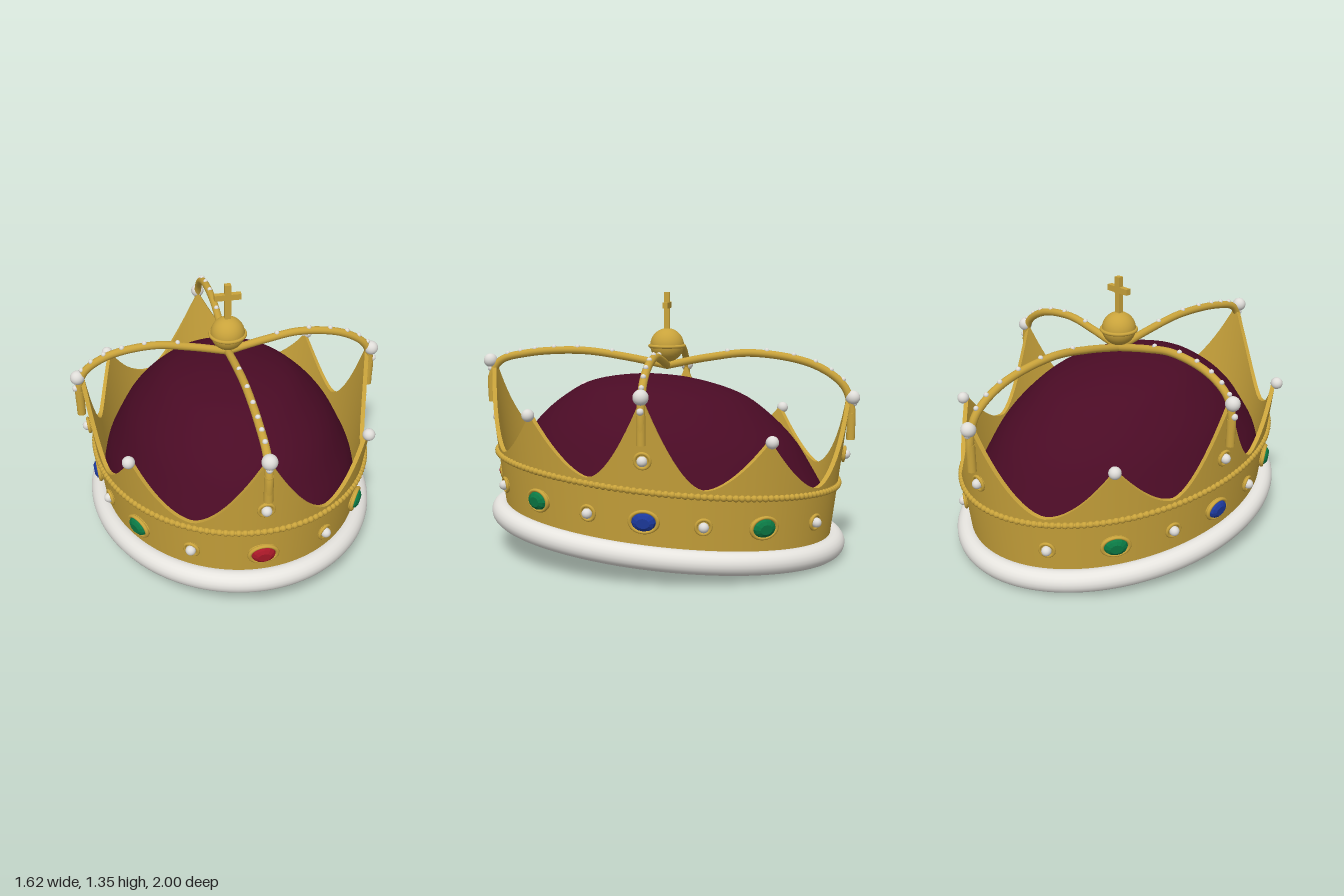
import * as THREE from 'three';
import { mergeGeometries, toCreasedNormals } from 'three/addons/utils/BufferGeometryUtils.js';

const mat = (name, color) => Object.assign(new THREE.MeshStandardMaterial({ color }), { name });

const SLOPE = 0.085;            // the whole circlet rises towards the front
const TAU = Math.PI * 2;

// Point on the flared oval wall: a = angle from the front towards +x, y = height, off = outward offset
function wallPoint(a, y, off = 0) {
  const rx = 0.675 + 0.115 * (y - 0.15) + off;
  const rz = 0.862 + 0.12 * (y - 0.15) + off;
  const r = 1 / Math.hypot(Math.sin(a) / rx, Math.cos(a) / rz);
  const z = r * Math.cos(a);
  return new THREE.Vector3(r * Math.sin(a), y + SLOPE * z, z);
}

// Upper edge of the circlet: tall spikes on the axes, short ones on the diagonals
function rimHeight(a) {
  const t = a / (Math.PI / 4);
  const k = Math.round(t);
  const s = Math.min(1, Math.abs(t - k) * 2);
  return 0.48 + ((k % 2 ? 0.73 : 0.9) - 0.48) * Math.pow(1 - s, 1.7);
}

function circletGeometry() {
  const N = 192, M = 7, K = 2 * (M + 1), pos = [], idx = [];
  for (let i = 0; i < N; i++) {
    const a = (i / N) * TAU, top = rimHeight(a);
    for (let k = 0; k < K; k++) {
      const outer = k <= M;
      const f = (outer ? k : K - 1 - k) / M;
      pos.push(...wallPoint(a, 0.12 + (top - 0.12) * f, outer ? 0 : -0.022).toArray());
      const n = (i + 1) % N, u = (k + 1) % K;
      idx.push(i * K + k, n * K + k, n * K + u, i * K + k, n * K + u, i * K + u);
    }
  }
  const g = new THREE.BufferGeometry();
  g.setAttribute('position', new THREE.Float32BufferAttribute(pos, 3));
  g.setIndex(idx);
  return toCreasedNormals(g, 0.6);
}

// Closed oval path that follows the wall
class OvalCurve extends THREE.Curve {
  constructor(y, off) { super(); this.y = y; this.off = off; }
  getPoint(t, target = new THREE.Vector3()) {
    return target.copy(wallPoint(t * TAU, this.y, this.off));
  }
}

export function createModel() {
  const gold = mat('gold', 0xc9a33b);
  const velvet = mat('velvet', 0x4a0b25);
  velvet.side = THREE.DoubleSide;
  const fur = mat('fur', 0xe6e4df);
  const pearl = mat('pearl', 0xdedcd8);
  const red = mat('ruby red', 0xa81828);
  const green = mat('emerald green', 0x0b7a45);
  const blue = mat('sapphire blue', 0x1d3a9e);
  for (const m of [red, green, blue]) m.flatShading = true;

  const model = new THREE.Group();
  model.name = 'crown';
  const add = (name, geo, material, p, parent = model) => {
    const mesh = new THREE.Mesh(geo, material);
    mesh.name = name;
    if (p) mesh.position.copy(p);
    parent.add(mesh);
    return mesh;
  };
  const V = (x, y, z) => new THREE.Vector3(x, y, z);

  // Circlet and fur base
  add('circlet', circletGeometry(), gold);
  add('furTrim', new THREE.TubeGeometry(new OvalCurve(0.134, 0.025), 128, 0.057, 20, true), fur);

  // Beaded rope above the jewels
  const rope = new OvalCurve(0.452, 0.004);
  add('ropeCore', new THREE.TubeGeometry(rope, 160, 0.011, 8, true), gold);
  const beads = rope.getSpacedPoints(170).slice(0, -1).map((p) =>
    new THREE.SphereGeometry(0.0165, 10, 8).translate(p.x, p.y, p.z));
  add('ropeBeads', mergeGeometries(beads), gold);

  // Velvet cap
  const profile = new THREE.SplineCurve([
    [1, 0.3], [0.965, 0.4], [0.9, 0.5], [0.79, 0.64], [0.64, 0.76], [0.47, 0.85], [0.22, 0.903], [0, 0.916],
  ].map(([r, y]) => new THREE.Vector2(r, y))).getPoints(32);
  profile[32].x = 0;
  const cap = new THREE.LatheGeometry(profile, 96);
  cap.scale(0.67, 1, 0.853);
  cap.applyMatrix4(new THREE.Matrix4().set(1, 0, 0, 0, 0, 1, SLOPE, 0, 0, 0, 1, 0, 0, 0, 0, 1));
  add('velvetCap', cap, velvet);

  // Jewel mounts, facing outward from the wall
  function mount(name, a, y) {
    const g = new THREE.Group();
    g.name = name;
    g.position.copy(wallPoint(a, y, 0.002));
    const e = 0.01;
    const n = wallPoint(a + e, y).sub(wallPoint(a - e, y))
      .cross(wallPoint(a, y + e).sub(wallPoint(a, y - e)));
    g.lookAt(g.position.clone().add(n));
    model.add(g);
    return g;
  }
  const disc = (r0, r1, h, n) => new THREE.CylinderGeometry(r0, r1, h, n).rotateX(Math.PI / 2);

  function gem(a, material) {
    const g = mount('gemMount', a, 0.308);
    g.scale.set(1, 0.78, 1);
    add('gemBacking', disc(0.07, 0.072, 0.02, 32), gold, null, g);
    add('gemBezel', new THREE.TorusGeometry(0.067, 0.01, 10, 40), gold, V(0, 0, 0.01), g);
    add('gemGirdle', disc(0.052, 0.062, 0.018, 12), material, V(0, 0, 0.017), g);
    add('gemTable', disc(0.032, 0.052, 0.01, 12), material, V(0, 0, 0.031), g);
  }
  function pearlStud(a, y) {
    const g = mount('pearlMount', a, y);
    add('pearlBacking', disc(0.036, 0.038, 0.016, 24), gold, null, g);
    add('pearlBezel', new THREE.TorusGeometry(0.036, 0.008, 10, 28), gold, V(0, 0, 0.008), g);
    add('pearlStud', new THREE.SphereGeometry(0.025, 18, 12), pearl, V(0, 0, 0.016), g);
  }

  const Q = Math.PI / 4;
  gem(0, red);
  for (const s of [1, -1]) {
    gem(s * Q, green);
    gem(s * 2 * Q, blue);
    gem(s * 3 * Q, green);
  }
  for (let i = 0; i < 8; i++) {
    pearlStud((i + 0.5) * Q, 0.308);
    const tall = i % 2 === 0;
    if (tall) pearlStud(i * Q, 0.603);
    add('spikePearl', new THREE.SphereGeometry(tall ? 0.037 : 0.031, 24, 16), pearl,
      wallPoint(i * Q, tall ? 0.9 : 0.727, tall ? 0.011 : 0.006));
  }

  // Four half arches: points are [distance from the axis, height]
  const sideArch = [[0.768, 0.68], [0.768, 0.84], [0.735, 0.93], [0.61, 1.01], [0.38, 1.045], [0.2, 1.017], [0, 0.97]];
  const frontArch = [[0.957, 0.76], [0.957, 0.9], [0.91, 0.98], [0.75, 1.025], [0.46, 1.042], [0.22, 1.012], [0, 0.97]];
  const backArch = [[0.957, 0.6], [0.957, 0.76], [0.915, 0.88], [0.76, 0.985], [0.45, 1.04], [0.22, 1.015], [0, 0.97]];
  [frontArch, sideArch, backArch, sideArch].forEach((pts, i) => {
    const arch = new THREE.Group();
    arch.name = 'arch';
    arch.rotation.y = i * Math.PI / 2;
    model.add(arch);
    const curve = new THREE.CatmullRomCurve3(pts.map(([d, y]) => V(0, y, d)));
    add('archTube', new THREE.TubeGeometry(curve, 64, 0.02, 12), gold, null, arch);
    add('archFoot', new THREE.CylinderGeometry(0.022, 0.022, 0.14, 16), gold,
      V(0, pts[0][1] + 0.07, pts[0][0]), arch);
    // Small pearls along the upper side of the arch
    for (const u of [0.15, 0.25, 0.31, 0.38, 0.47, 0.58, 0.74]) {
      const t = curve.getTangentAt(u);
      const p = curve.getPointAt(u).add(V(0, -t.z, t.y).multiplyScalar(0.018));
      add('archPearl', new THREE.SphereGeometry(u < 0.2 ? 0.017 : 0.013, 12, 8), pearl, p, arch);
    }
  });

  // Orb and cross
  add('orb', new THREE.SphereGeometry(0.088, 32, 24), gold, V(0, 1.076, 0));
  add('orbBand', new THREE.TorusGeometry(0.09, 0.009, 10, 48).rotateX(Math.PI / 2), gold, V(0, 1.072, 0));
  add('crossPost', new THREE.BoxGeometry(0.031, 0.2, 0.028), gold, V(0, 1.25, 0));
  add('crossArm', new THREE.BoxGeometry(0.136, 0.031, 0.028), gold, V(0, 1.283, 0));

  return model;
}
